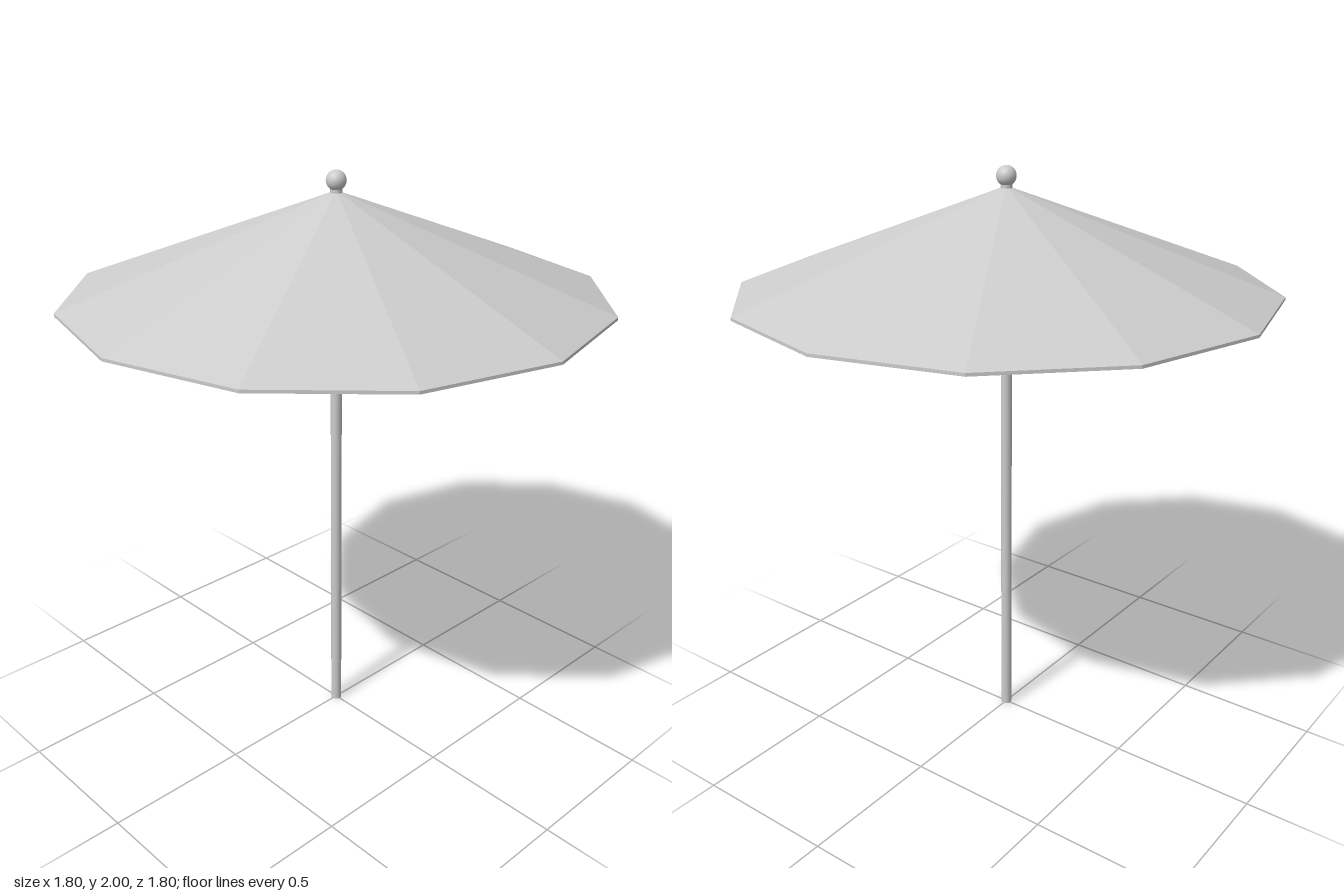
import * as THREE from 'three';

export function createModel() {
  const model = new THREE.Group();
  model.name = 'parasol';
  const grey = new THREE.MeshStandardMaterial({ color: 0xcccccc });
  grey.name = 'light grey';

  const add = (name, geometry, y = 0) => {
    const mesh = new THREE.Mesh(geometry, grey);
    mesh.name = name;
    mesh.position.y = y;
    model.add(mesh);
  };
  const lathe = (points, sides) =>
    new THREE.LatheGeometry(points.map(([r, y]) => new THREE.Vector2(r, y)), sides);

  // Pole: closed profile with normals blended softly over both ends
  add('pole', lathe([[0, 0], [0.019, 0], [0.019, 1.955], [0, 1.955]], 16));

  // Canopy: thin twelve-sided shell, hollow underneath, with a narrow rim
  const canopy = lathe([[0, 1.925], [0.9, 1.59], [0.9, 1.6], [0, 1.936]], 12).toNonIndexed();
  canopy.computeVertexNormals(); // faceted panels
  add('canopy', canopy);

  // Ball on top of the pole
  add('finial', new THREE.SphereGeometry(0.033, 24, 16), 1.967);

  return model;
}
